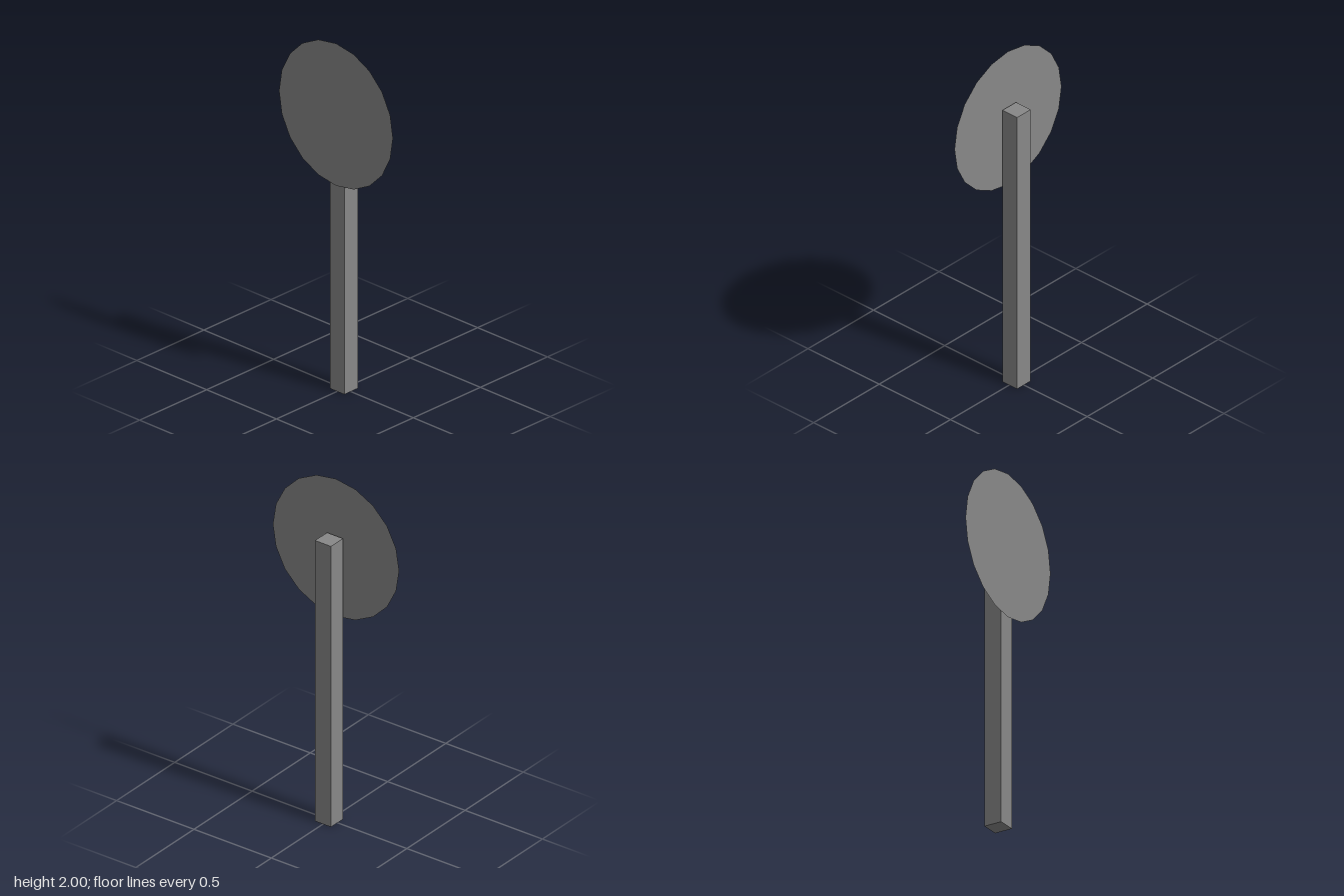
import * as THREE from 'three';

export function createModel() {
  const group = new THREE.Group();
  const material = new THREE.MeshStandardMaterial({ color: 0x888888, flatShading: true });

  // Square upright post
  const postHeight = 1.667;
  const postWidth = 0.103;
  const post = new THREE.Mesh(new THREE.BoxGeometry(postWidth, postHeight, postWidth), material);
  post.name = 'post';
  post.position.set(0.004, postHeight / 2, 0);
  group.add(post);

  // Thin 20-sided sign plate, just clear of the post's -x side
  const radius = 0.408;
  const plateMaterial = material.clone();
  plateMaterial.side = THREE.DoubleSide;
  const plate = new THREE.Mesh(new THREE.CircleGeometry(radius, 20), plateMaterial);
  plate.name = 'signPlate';
  plate.rotation.y = Math.PI / 2;
  plate.position.set(-0.056, 2 - radius, 0);
  group.add(plate);

  return group;
}
